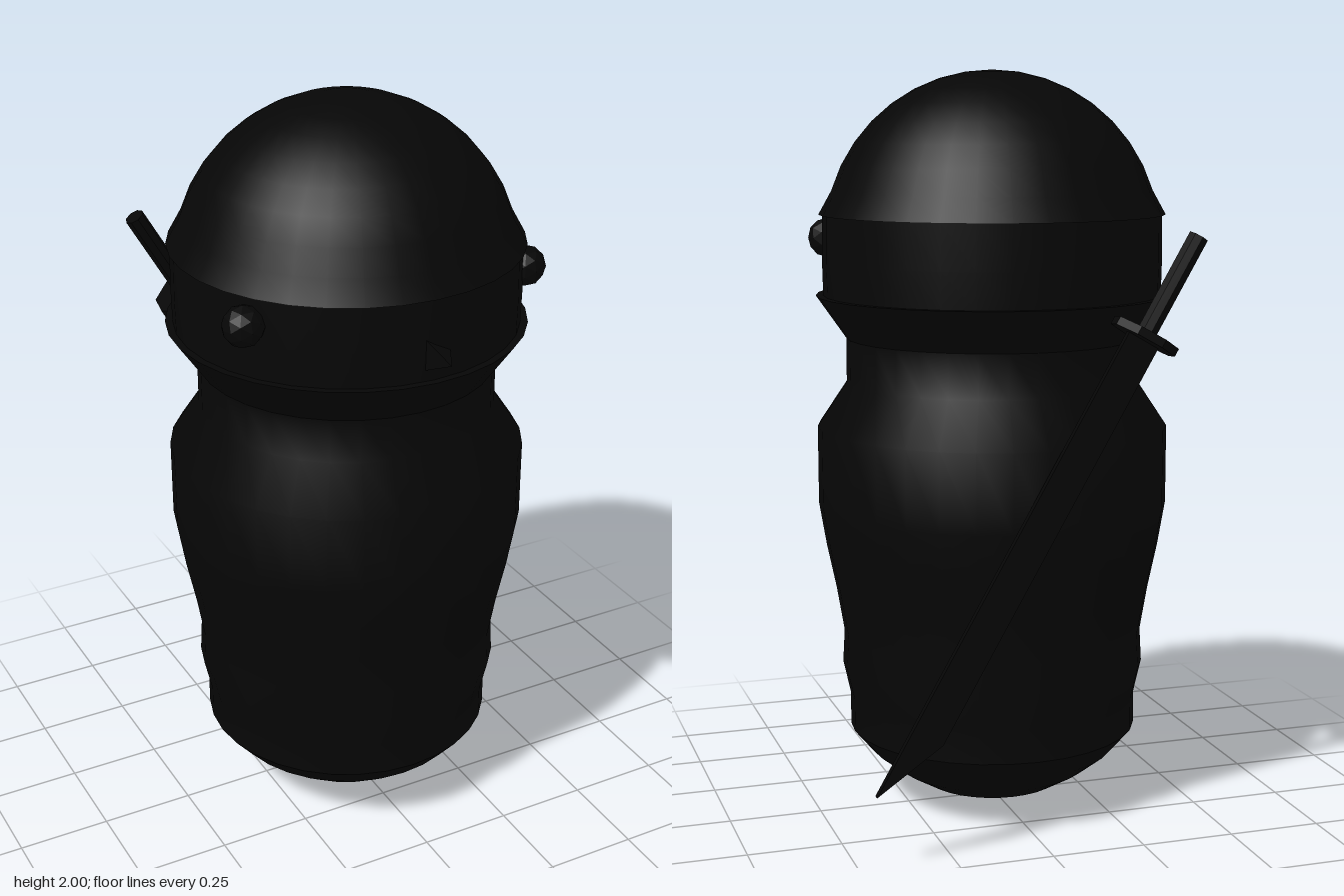
import * as THREE from 'three';

const BLACK = 0x060606;
const smooth = new THREE.MeshStandardMaterial({ color: BLACK });
const flat = new THREE.MeshStandardMaterial({ color: BLACK, flatShading: true });

function add(parent, name, geometry, material) {
  const mesh = new THREE.Mesh(geometry, material);
  mesh.name = name;
  parent.add(mesh);
  return mesh;
}

// Turned part from [radius, height] pairs, listed bottom to top
function turned(parent, name, profile) {
  const points = profile.map(([r, y]) => new THREE.Vector2(r, y));
  return add(parent, name, new THREE.LatheGeometry(points, 32), smooth);
}

function createSword() {
  const sword = new THREE.Group();
  sword.name = 'sword';

  // Blade with a slanted tip, running down from the guard
  const outline = new THREE.Shape([
    [-0.045, 0], [-0.045, -1.145], [0.045, -1.335], [0.045, 0],
  ].map(([x, y]) => new THREE.Vector2(x, y)));
  const blade = new THREE.ExtrudeGeometry(outline, { depth: 0.018, bevelEnabled: false });
  blade.translate(0, 0, -0.009);
  add(sword, 'blade', blade, flat);

  // Guard disc and handle
  add(sword, 'guard', new THREE.CylinderGeometry(0.092, 0.092, 0.022, 8).rotateY(0.2), flat);
  add(sword, 'handle', new THREE.CylinderGeometry(0.027, 0.027, 0.285, 8), flat).position.y = 0.1425;

  sword.position.set(-0.245, 1.335, -0.47);
  sword.rotation.z = Math.PI / 6;
  return sword;
}

export function createModel() {
  const model = new THREE.Group();
  model.name = 'warriorFigure';

  const figure = new THREE.Group();
  figure.name = 'figure';
  figure.position.z = 0.022;
  model.add(figure);

  // Rounded base
  turned(figure, 'base', [
    [0, 0], [0.1, 0.013], [0.19, 0.043], [0.27, 0.09], [0.34, 0.145], [0.395, 0.21],
  ]);

  // Torso, shoulders and neck
  turned(figure, 'body', [
    [0.395, 0.21], [0.395, 0.3], [0.415, 0.39], [0.41, 0.48], [0.43, 0.6],
    [0.455, 0.72], [0.475, 0.84], [0.475, 1.05], [0.395, 1.17], [0.395, 1.29],
  ]);

  // Flared chin with its flat ledge
  turned(figure, 'chin', [[0.395, 1.29], [0.475, 1.405]]);
  turned(figure, 'chinLedge', [[0.475, 1.405], [0.455, 1.405]]);

  // Face band, set back between chin and hood
  turned(figure, 'face', [[0.455, 1.405], [0.457, 1.5], [0.455, 1.62]]);

  // Domed hood with a small lip
  turned(figure, 'hoodLip', [[0.45, 1.62], [0.465, 1.62]]);
  const dome = [[0.465, 1.62]];
  for (let i = 0; i <= 8; i++) {
    const a = THREE.MathUtils.lerp(0.3, Math.PI / 2, i / 8);
    dome.push([0.45 * Math.cos(a), 1.55 + 0.45 * Math.sin(a)]);
  }
  turned(figure, 'hood', dome);

  // Eyes
  for (const [name, x, z] of [['rightEye', -0.41, 0.265], ['leftEye', 0.4, 0.252]]) {
    add(model, name, new THREE.IcosahedronGeometry(0.054, 1), flat).position.set(x, 1.55, z);
  }

  // Three-sided pointed nose
  const nose = new THREE.ConeGeometry(0.055, 0.1, 3).rotateY(Math.PI / 2).rotateX(Math.PI / 2);
  add(model, 'nose', nose, flat).position.set(0, 1.475, 0.51);

  // Sword slung across the back
  model.add(createSword());
  return model;
}
